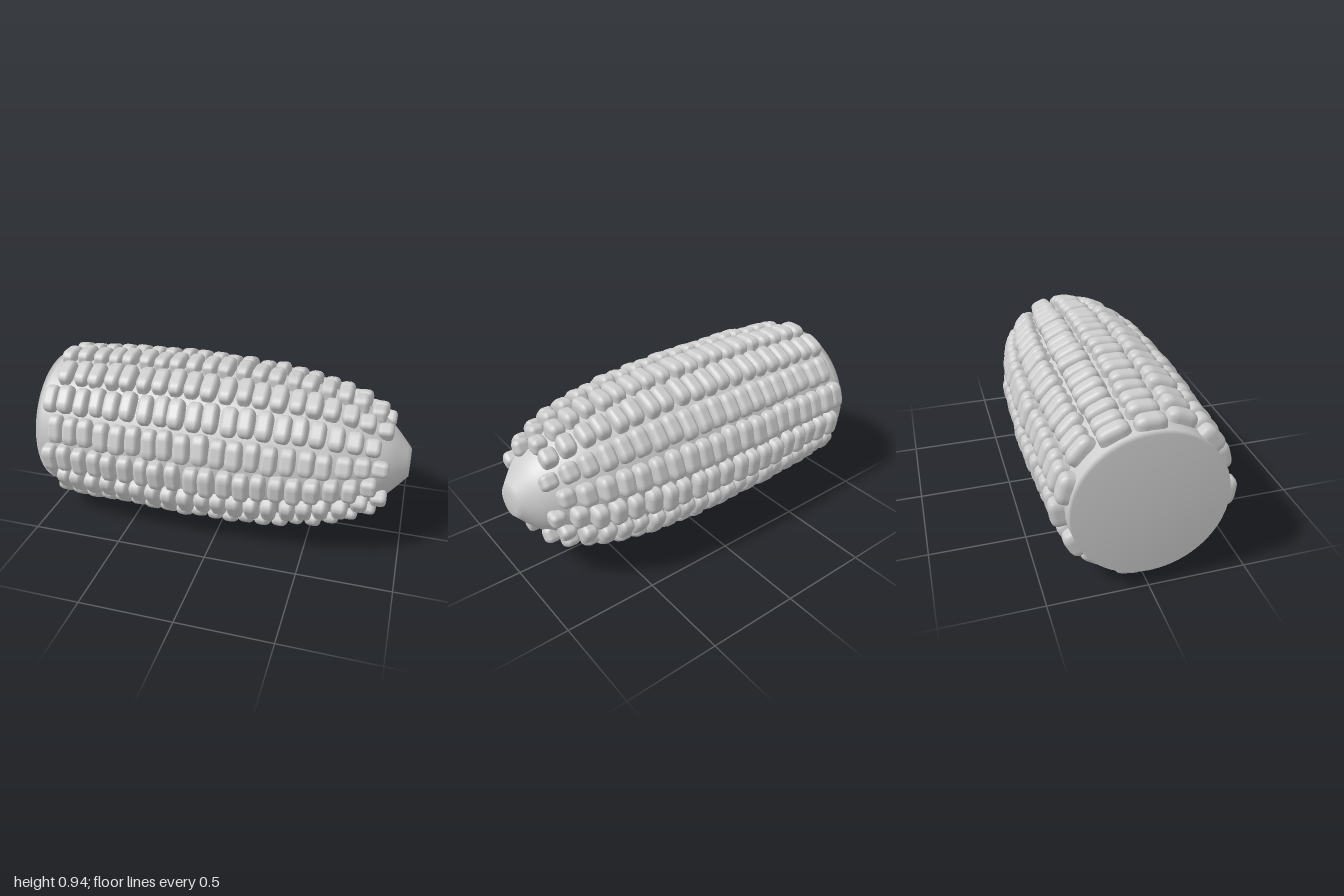
import * as THREE from 'three';
import { RoundedBoxGeometry } from 'three/addons/geometries/RoundedBoxGeometry.js';

const ROWS = 15, PER_ROW = 20, PITCH = 0.0908, AXIS_Y = 0.485;

// Cob profile: [radius, position along the axis]
const PROFILE = [
  [0.378, -1], [0.388, -0.85], [0.4, -0.6], [0.41, -0.3], [0.408, 0], [0.39, 0.3],
  [0.352, 0.54], [0.332, 0.63], [0.297, 0.72], [0.247, 0.81], [0.205, 0.875], [0.16, 0.925], [0.075, 1],
].map(([r, a]) => new THREE.Vector2(r, a));

function cobRadius(a) {
  let i = 0;
  while (i < PROFILE.length - 2 && PROFILE[i + 1].y < a) i++;
  const p = PROFILE[i], q = PROFILE[i + 1];
  return p.x + (q.x - p.x) * (a - p.y) / (q.y - p.y);
}

function makeRandom(seed) {
  return () => {
    seed = (seed * 16807) % 2147483647;
    return seed / 2147483647 - 0.5; // -0.5 to 0.5
  };
}

export function createModel() {
  const grey = new THREE.MeshStandardMaterial({ color: 0xcccccc });
  grey.name = 'light grey';
  const model = new THREE.Group();
  model.name = 'cornCob';

  // Core with a tapered tip and closed, softly shaded ends
  const outline = [
    new THREE.Vector2(0, -1),
    ...new THREE.SplineCurve(PROFILE).getPoints(36),
    new THREE.Vector2(0, 1),
  ];
  const core = new THREE.Mesh(new THREE.LatheGeometry(outline, 48).rotateZ(-Math.PI / 2), grey);
  core.name = 'core';
  core.position.y = AXIS_Y;
  model.add(core);

  // Kernels: staggered rows of soft blocks that narrow towards the tip
  const block = new RoundedBoxGeometry(1, 1, 1, 2, 0.32);
  const rand = makeRandom(4217);
  for (let k = 0; k < ROWS; k++) {
    const row = new THREE.Group();
    row.name = `kernelRow${k + 1}`;
    row.position.y = AXIS_Y;
    row.rotation.x = (k / ROWS) * Math.PI * 2;
    for (let i = 0; i < PER_ROW; i++) {
      const x = -0.915 + i * PITCH + (k % 2) * 0.048;
      const top = cobRadius(x) + 0.058 + rand() * 0.012;
      const height = 0.085 + 0.03 * THREE.MathUtils.smoothstep(top, 0.3, 0.42);
      const kernel = new THREE.Mesh(block, grey);
      kernel.name = 'kernel';
      kernel.scale.set(0.084 + rand() * 0.008, height, 0.42 * top - 0.035 + rand() * 0.006);
      kernel.position.set(x + rand() * 0.012, top - height / 2, rand() * 0.012);
      kernel.rotation.set(rand() * 0.12, rand() * 0.08, rand() * 0.08);
      row.add(kernel);
    }
    model.add(row);
  }
  return model;
}
